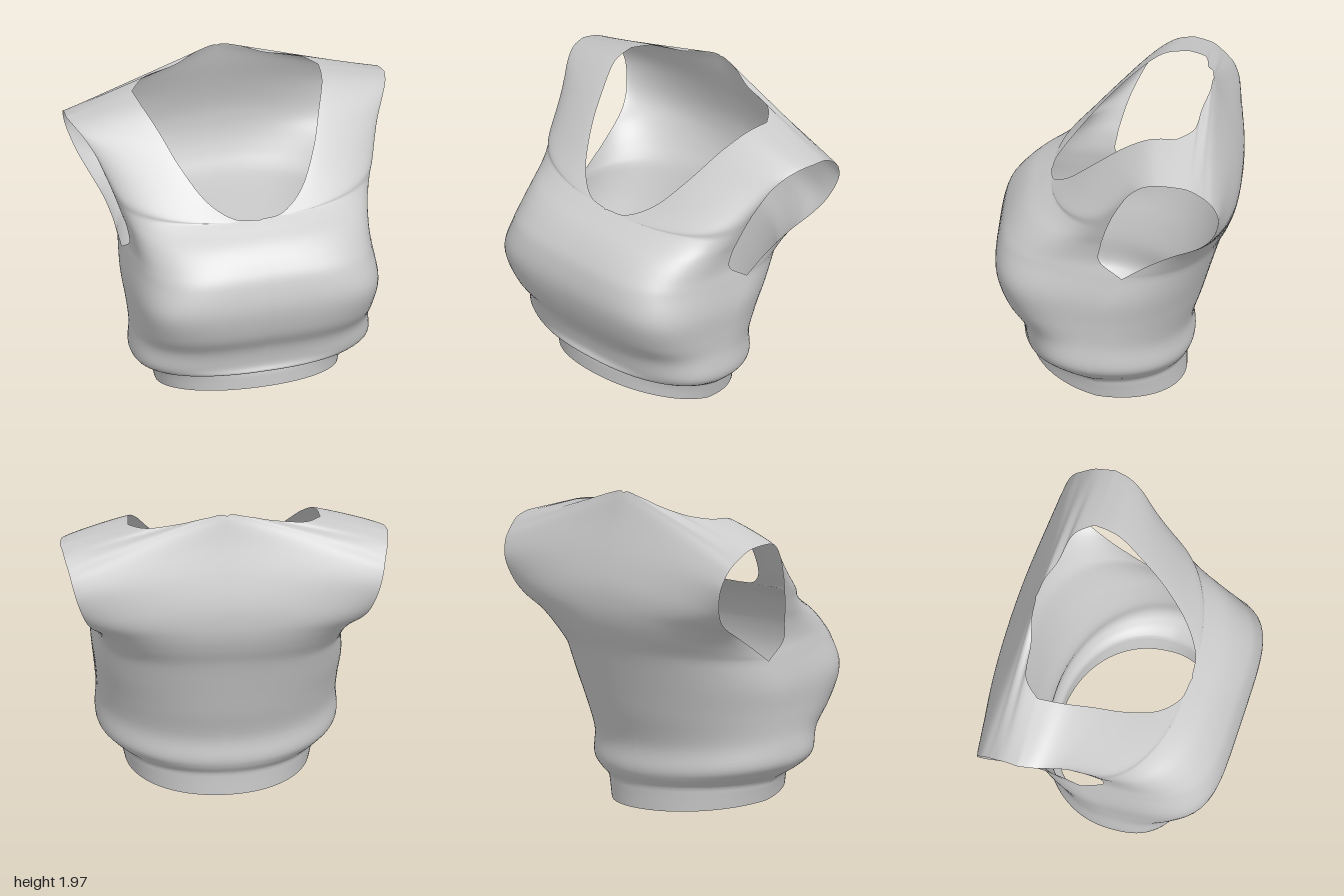
import * as THREE from 'three';
import { mergeVertices } from 'three/addons/utils/BufferGeometryUtils.js';

// Closed rings, hem to underarm:
// front centre y, z, roundness | back centre y, z, roundness | side seam x, y, z
const rings = [
  [0.18, 0.53, 2.1, 0.00, -0.405, 2.1, 0.56, 0.06, 0.10],
  [0.26, 0.53, 2.1, 0.10, -0.405, 2.1, 0.58, 0.14, 0.10],
  [0.30, 0.53, 2.2, 0.15, -0.41, 2.1, 0.60, 0.19, 0.11],
  [0.32, 0.575, 2.4, 0.20, -0.44, 2.1, 0.67, 0.24, 0.13],
  [0.37, 0.565, 2.8, 0.26, -0.455, 2.1, 0.73, 0.32, 0.14],
  [0.50, 0.60, 3.0, 0.40, -0.45, 2.1, 0.725, 0.48, 0.13],
  [0.65, 0.69, 3.7, 0.60, -0.515, 2.15, 0.735, 0.62, 0.10],
  [0.85, 0.74, 4.6, 0.78, -0.57, 2.25, 0.75, 0.78, 0.04],
  [1.02, 0.715, 4.2, 0.98, -0.635, 2.4, 0.735, 0.95, -0.06],
];
// Rows above the underarm: neck-side point | armhole point | roundness
const frontTop = [
  [0, 1.12, 0.66, 0.725, 1.06, 0.075, 3.4],
  [0, 1.21, 0.575, 0.74, 1.17, 0.07, 2.8],
  [0, 1.27, 0.48, 0.765, 1.25, 0.05, 2.4],
  [0, 1.305, 0.42, 0.79, 1.33, 0.025, 2.15],
  [0.15, 1.32, 0.395, 0.82, 1.42, -0.01, 1.9],
  [0.30, 1.41, 0.29, 0.85, 1.50, -0.05, 1.6],
  [0.42, 1.575, 0.12, 0.89, 1.60, -0.11, 1.3],
  [0.50, 1.725, -0.055, 0.94, 1.68, -0.19, 1.2],
  [0.565, 1.825, -0.22, 0.98, 1.72, -0.28, 1.1],
  [0.585, 1.84, -0.38, 1.0, 1.725, -0.38, 1.0],
];
const backTop = [
  [0, 1.10, -0.69, 0.745, 1.04, -0.20, 2.5],
  [0, 1.20, -0.725, 0.77, 1.13, -0.36, 2.5],
  [0, 1.30, -0.74, 0.82, 1.22, -0.53, 2.4],
  [0, 1.42, -0.735, 0.87, 1.32, -0.62, 2.0],
  [0, 1.58, -0.695, 0.92, 1.46, -0.66, 1.6],
  [0, 1.80, -0.62, 0.95, 1.57, -0.63, 1.2],
  [0, 1.96, -0.57, 0.965, 1.63, -0.58, 1.0],
  [0.13, 1.945, -0.555, 0.975, 1.66, -0.545, 1.0],
  [0.28, 1.895, -0.515, 0.985, 1.69, -0.505, 1.0],
  [0.48, 1.86, -0.485, 0.99, 1.71, -0.455, 1.0],
  [0.585, 1.84, -0.38, 1.0, 1.725, -0.38, 1.0],
];
const frontRows = [...rings.map(r => [0, r[0], r[1], r[6], r[7], r[8], r[2]]), ...frontTop];
const backRows = [...rings.map(r => [0, r[3], r[4], r[6], r[7], r[8], r[5]]), ...backTop];

const UNDERARM = rings.length - 1;
const BAND_TOP = 2;
const ACROSS = 28;
const STEPS = 5;

// Smooth blend between rows i and i + 1; the side seam stops at the underarm,
// where the front and back armhole edges part
function blendRow(rows, i, t) {
  const b = rows[i], c = rows[i + 1];
  const before = rows[i - 1] || b, after = rows[i + 2] || c;
  return b.map((v, k) => {
    const seam = k > 2;
    const a = seam && i === UNDERARM ? 2 * v - c[k] : before[k];
    const d = seam && i + 1 === UNDERARM ? 2 * c[k] - v : after[k];
    return v + 0.5 * t * (c[k] - a
      + t * (2 * a - 5 * v + 4 * c[k] - d + t * (3 * (v - c[k]) + d - a)));
  });
}

// Point on a row: superellipse quarter from the centre or neck edge to the side
function rowPoint([px, py, pz, qx, qy, qz, n], u, mirror) {
  const angle = u * Math.PI / 2;
  const co = Math.max(0, Math.cos(angle)), si = Math.sin(angle);
  const r = Math.pow(Math.pow(co, n) + Math.pow(si, n), -1 / n);
  const c = co * r, s = si * r;
  const x0 = Math.max(0, px);
  return [mirror * (x0 + (qx - x0) * s), qy + (py - qy) * c, qz + (pz - qz) * c];
}

// Append one quarter of the shell between two rows
function addPanel(positions, index, rows, from, to, mirror, flip) {
  const base = positions.length / 3;
  const count = (to - from) * STEPS;
  const w = ACROSS + 1;
  for (let j = 0; j <= count; j++) {
    const i = Math.min(from + Math.floor(j / STEPS), to - 1);
    const row = blendRow(rows, i, from + j / STEPS - i);
    for (let k = 0; k <= ACROSS; k++) positions.push(...rowPoint(row, k / ACROSS, mirror));
  }
  for (let j = 0; j < count; j++) {
    for (let k = 0; k < ACROSS; k++) {
      const a = base + j * w + k, b = a + 1, c = a + w, d = c + 1;
      if (flip) index.push(a, c, b, b, c, d);
      else index.push(a, b, c, b, d, c);
    }
  }
}

function shell(name, from, frontTo, backTo, material) {
  const positions = [], index = [];
  for (const mirror of [1, -1]) {
    addPanel(positions, index, frontRows, from, frontTo, mirror, mirror < 0);
    addPanel(positions, index, backRows, from, backTo, mirror, mirror > 0);
  }
  let geometry = new THREE.BufferGeometry();
  geometry.setAttribute('position', new THREE.Float32BufferAttribute(positions, 3));
  geometry.setIndex(index);
  geometry = mergeVertices(geometry, 1e-4);
  geometry.computeVertexNormals();
  const mesh = new THREE.Mesh(geometry, material);
  mesh.name = name;
  return mesh;
}

export function createModel() {
  const group = new THREE.Group();
  group.name = 'croppedTop';
  const cloth = new THREE.MeshStandardMaterial({ color: 0xcccccc, side: THREE.DoubleSide });
  // narrow band tucked under the fold, then the body with its shoulder straps
  group.add(shell('hemBand', 0, BAND_TOP, BAND_TOP, cloth));
  group.add(shell('bodice', BAND_TOP, frontRows.length - 1, backRows.length - 1, cloth));
  return group;
}
